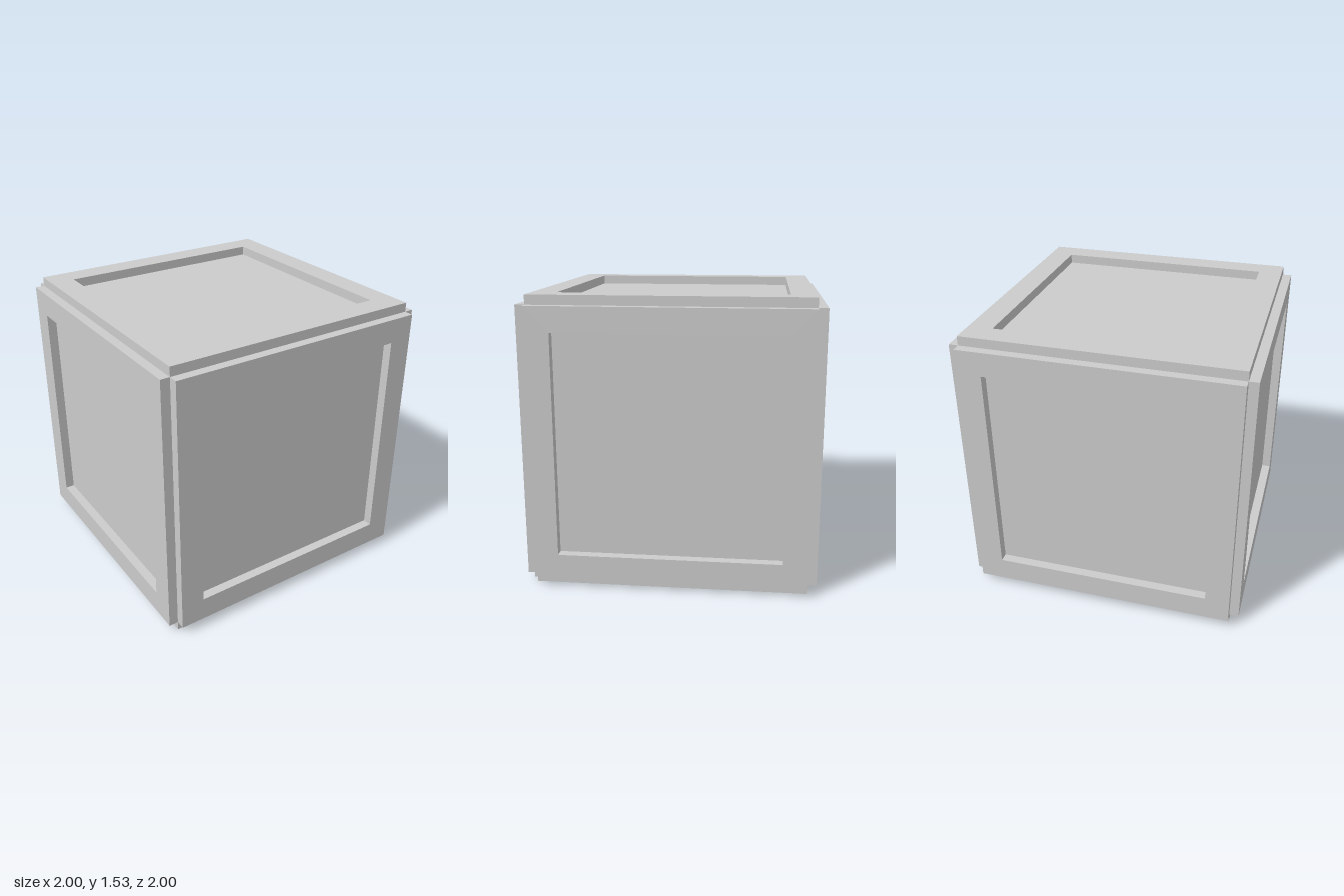
import * as THREE from 'three';

const SIZE = 1.43;     // core and frame width
const OPENING = 1.17;  // width of the recessed panel
const DEPTH = 0.05;    // frame thickness

function square(target, size) {
  const h = size / 2;
  target.moveTo(-h, -h);
  target.lineTo(h, -h);
  target.lineTo(h, h);
  target.lineTo(-h, h);
  target.closePath();
  return target;
}

export function createModel() {
  const material = new THREE.MeshStandardMaterial({ color: 0xcccccc, flatShading: true });

  const crate = new THREE.Group();
  crate.name = 'crate';
  crate.position.y = SIZE / 2 + DEPTH;
  crate.rotation.y = THREE.MathUtils.degToRad(-25.9);

  // Solid core: its faces are the recessed panels
  const core = new THREE.Mesh(new THREE.BoxGeometry(SIZE, SIZE, SIZE), material);
  core.name = 'core';
  crate.add(core);

  // One square frame, laid on each of the six faces
  const outline = square(new THREE.Shape(), SIZE);
  outline.holes.push(square(new THREE.Path(), OPENING));
  const frameGeometry = new THREE.ExtrudeGeometry(outline, { depth: DEPTH, bevelEnabled: false });
  frameGeometry.translate(0, 0, SIZE / 2);

  const q = Math.PI / 2;
  const faces = [
    ['frontFrame', 0, 0], ['leftFrame', 0, q], ['backFrame', 0, 2 * q],
    ['rightFrame', 0, -q], ['topFrame', -q, 0], ['bottomFrame', q, 0],
  ];
  for (const [name, rx, ry] of faces) {
    const frame = new THREE.Mesh(frameGeometry, material);
    frame.name = name;
    frame.rotation.set(rx, ry, 0);
    crate.add(frame);
  }

  const model = new THREE.Group();
  model.name = 'framedCrate';
  model.add(crate);
  return model;
}
